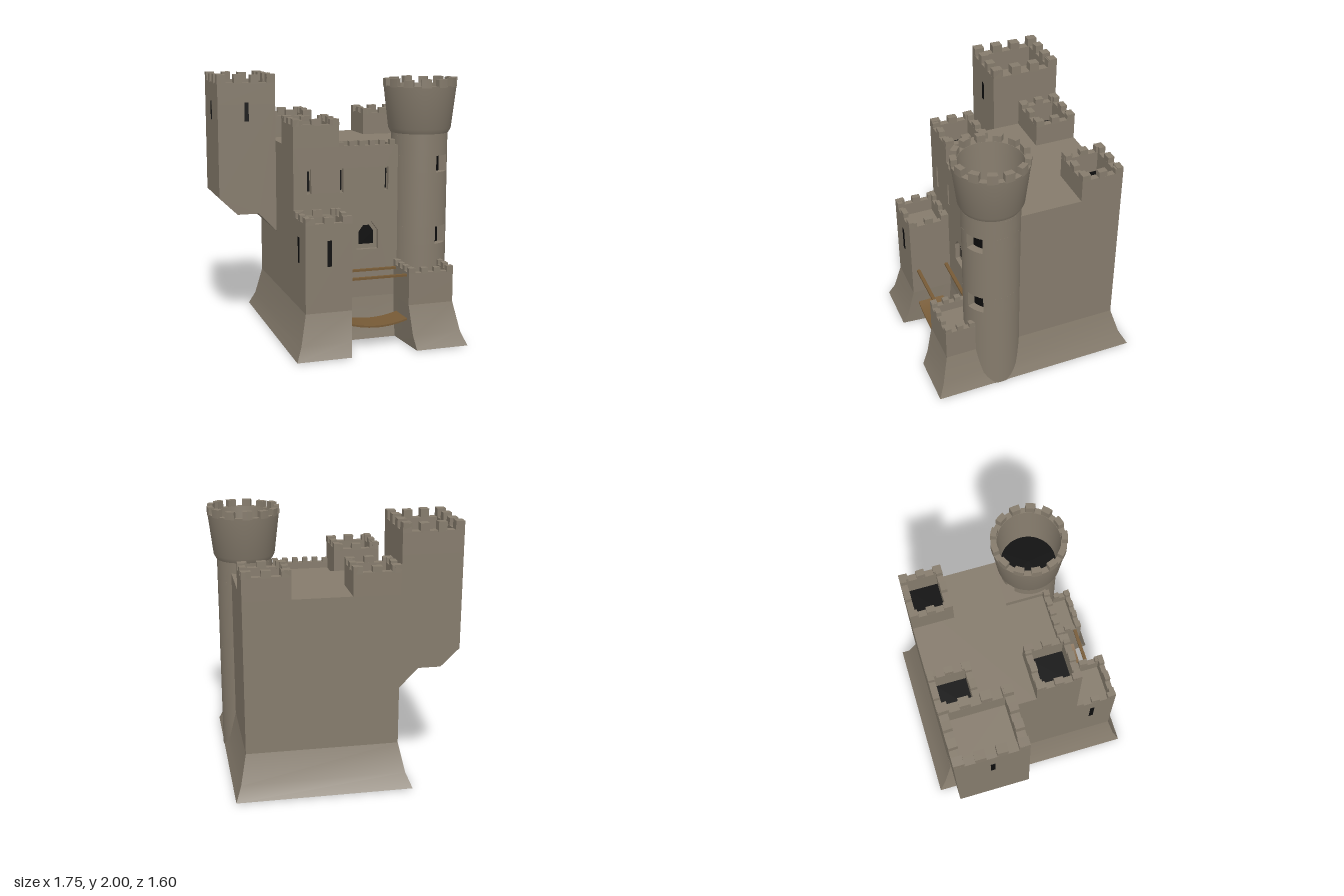
import * as THREE from 'three';
import { toCreasedNormals } from 'three/addons/utils/BufferGeometryUtils.js';

const mat = (name, color) => {
  const m = new THREE.MeshStandardMaterial({ color });
  m.name = name;
  return m;
};

export function createModel() {
  const root = new THREE.Group();
  root.name = 'castle';
  const stone = mat('stone', 0x857b6c);
  const wood = mat('wood', 0x765a36);
  const dark = mat('darkOpening', 0x0b0b0b);

  let seed = 7;
  const jitter = (a) => {
    seed = (seed * 16807) % 2147483647;
    return (seed / 2147483647 - 0.5) * 2 * a;
  };
  const add = (name, geo, material = stone, parent = root) => {
    const m = new THREE.Mesh(geo, material);
    m.name = name;
    parent.add(m);
    return m;
  };
  // Box given by its limits
  const block = (name, x0, x1, y0, y1, z0, z1, material, parent) => {
    const m = add(name, new THREE.BoxGeometry(x1 - x0, y1 - y0, z1 - z0), material, parent);
    m.position.set((x0 + x1) / 2, (y0 + y1) / 2, (z0 + z1) / 2);
    return m;
  };
  const extrude = (shape, depth, curveSegments = 12) =>
    new THREE.ExtrudeGeometry(shape, { depth, curveSegments, bevelEnabled: false });
  const polygon = (pts) => new THREE.Shape(pts.map(([x, y]) => new THREE.Vector2(x, y)));

  // Row of slightly uneven merlons filling a strip, ends flush
  const merlons = (parent, x0, x1, z0, z1, y, h, n) => {
    const alongX = x1 - x0 > z1 - z0;
    const step = (alongX ? x1 - x0 : z1 - z0) / (2 * n - 1);
    for (let i = 0; i < n; i++) {
      const s = 2 * i * step, top = y + h + jitter(0.005);
      const m = alongX
        ? block('merlon', x0 + s, x0 + s + step, y - 0.01, top, z0, z1, stone, parent)
        : block('merlon', x0, x1, y - 0.01, top, z0 + s, z0 + s + step, stone, parent);
      m.rotation.set(jitter(0.03), jitter(0.05), jitter(0.03));
    }
  };
  // Four parapet walls with merlons around a flat tower top
  const parapet = (name, x0, x1, z0, z1, y0, y1, t, n, h) => {
    const g = new THREE.Group();
    g.name = name;
    root.add(g);
    const strips = [[x0, x1, z0, z0 + t], [x0, x1, z1 - t, z1], [x0, x0 + t, z0, z1], [x1 - t, x1, z0, z1]];
    for (const [a, b, c, d] of strips) {
      block('parapetWall', a, b, y0, y1, c, d, stone, g);
      merlons(g, a, b, c, d, y1, h, n);
    }
  };

  // Flared U-shaped foot of the castle, lofted through three levels
  const outline = (f) => [
    [-0.42 - 0.09 * f, 0.705 + 0.095 * f], [-0.07 - 0.03 * f, 0.705 + 0.095 * f],
    [-0.07, 0.385 + 0.04 * f], [0.37, 0.385 + 0.04 * f],
    [0.37 + 0.035 * f, 0.705 + 0.095 * f], [0.72 + 0.09 * f, 0.705 + 0.095 * f],
    [0.72 + 0.09 * f, -0.67 - 0.13 * f], [-0.42 - 0.09 * f, -0.67 - 0.13 * f]];
  const levels = [[0.005, 1], [0.11, 0.52], [0.33, 0]].map(([y, f]) => outline(f).map(([x, z]) => [x, y, z]));
  const tri = [];
  for (let k = 0; k < 2; k++) {
    for (let i = 0; i < 8; i++) {
      const j = (i + 1) % 8;
      const [a, b, c, d] = [levels[k][i], levels[k][j], levels[k + 1][j], levels[k + 1][i]];
      tri.push(...a, ...b, ...c, ...a, ...c, ...d);
    }
  }
  const foot = new THREE.BufferGeometry();
  foot.setAttribute('position', new THREE.Float32BufferAttribute(tri, 3));
  foot.computeVertexNormals();
  add('flaredFoot', toCreasedNormals(foot, 0.6));
  const under = new THREE.ShapeGeometry(polygon(outline(1).map(([x, z]) => [x, -z])));
  under.rotateX(-Math.PI / 2);
  const sole = add('underside', under, stone);
  sole.position.y = -0.005;
  // turn the sole face down while keeping its plan
  under.index.array.reverse();
  under.computeVertexNormals();
  sole.position.y = 0.005;

  // Keep
  block('keepRear', -0.42, 0.72, 0.33, 1.485, -0.67, 0.05);
  block('keepEast', 0.37, 0.72, 0.33, 1.485, 0.05, 0.37);
  block('keepMiddle', -0.07, 0.37, 0.33, 1.44, 0.05, 0.35);
  block('keepWest', -0.42, -0.07, 0.33, 1.485, 0.05, 0.35);

  // Front wall with recessed slits and an arched window
  const rect = (x, y0, y1, w) => [[x - w, y0], [x + w, y0], [x + w, y1], [x - w, y1]];
  const arch = (x, y0, y1, w) => [[x - w, y0], [x + w, y0], [x + w, y1 - w * 0.8],
    [x + w * 0.4, y1], [x - w * 0.4, y1], [x - w, y1 - w * 0.8]];
  const wall = polygon([[-0.42, 0.33], [0.37, 0.33], [0.37, 1.485], [-0.42, 1.485]]);
  const openings = [
    [rect(-0.3, 1.145, 1.33, 0.016), rect(-0.3, 1.16, 1.31, 0.01)],
    [rect(-0.05, 1.145, 1.325, 0.014), rect(-0.05, 1.16, 1.31, 0.009)],
    [rect(0.305, 1.145, 1.325, 0.014), rect(0.305, 1.16, 1.31, 0.009)],
    [arch(0.155, 0.7, 0.91, 0.085), arch(0.155, 0.735, 0.88, 0.058)]];
  for (const [outer, inner] of openings) {
    wall.holes.push(new THREE.Path(outer.map(([x, y]) => new THREE.Vector2(x, y)).reverse()));
    add('windowOpening', new THREE.ShapeGeometry(polygon(inner)), dark).position.z = 0.353;
  }
  add('frontWall', extrude(wall, 0.035)).position.z = 0.35;
  block('frontParapet', -0.07, 0.37, 1.43, 1.49, 0.34, 0.385);
  merlons(root, -0.07, 0.37, 0.34, 0.385, 1.49, 0.033, 6);

  // Small turrets on the keep roof
  for (const [name, x0, z0, z1] of [['backLeftTurret', 0.37, -0.67, -0.35],
    ['backRightTurret', -0.42, -0.67, -0.35], ['frontRightTurret', -0.42, 0.05, 0.385]]) {
    parapet(name, x0, x0 + 0.35, z0, z1, 1.48, 1.655, 0.048, 3, 0.04);
    block('turretShaft', x0 + 0.04, x0 + 0.31, 1.484, 1.49, z0 + 0.04, z1 - 0.04, dark);
  }

  // Front bastions
  block('tallBastion', -0.42, -0.07, 0.33, 0.88, 0.385, 0.705);
  parapet('tallBastionTop', -0.42, -0.07, 0.38, 0.705, 0.88, 0.985, 0.04, 3, 0.042);
  block('lowBastion', 0.37, 0.72, 0.33, 0.5, 0.37, 0.705);
  parapet('lowBastionTop', 0.37, 0.72, 0.38, 0.705, 0.5, 0.57, 0.04, 4, 0.035);

  // Overhanging watch tower
  const profile = polygon([[-0.87, 1.05], [-0.73, 0.915], [-0.56, 0.915], [-0.42, 0.77], [-0.42, 1.77], [-0.87, 1.77]]);
  add('watchTower', extrude(profile, 0.53)).position.z = -0.67;
  parapet('watchTowerTop', -0.87, -0.42, -0.67, -0.14, 1.77, 1.935, 0.065, 4, 0.06);

  // Arrow slits on the outer faces
  block('arrowSlit', -0.257, -0.223, 0.67, 0.86, 0.702, 0.708, dark);
  block('arrowSlit', -0.423, -0.417, 0.67, 0.86, 0.508, 0.542, dark);
  block('arrowSlit', -0.662, -0.63, 1.64, 1.785, -0.143, -0.137, dark);
  block('arrowSlit', -0.873, -0.867, 1.64, 1.785, -0.42, -0.388, dark);

  // Round tower: solid bands, with gaps left for windows
  const round = new THREE.Group();
  round.name = 'roundTower';
  round.position.set(0.6, 0, 0.295);
  root.add(round);
  const R = 0.214;
  const sector = (name, r0, r1, a0, a1, y0, y1) => {
    const s = new THREE.Shape();
    s.absarc(0, 0, r1, a0, a1, false);
    s.absarc(0, 0, r0, a1, a0, true);
    const segs = Math.max(4, Math.ceil((a1 - a0) * 8));
    const g = extrude(s, y1 - y0, segs).rotateX(-Math.PI / 2);
    const m = add(name, toCreasedNormals(g, 0.5), stone, round);
    m.position.y = y0;
    return m;
  };
  const band = (y0, y1) => {
    add('towerShaft', new THREE.CylinderGeometry(R, R, y1 - y0, 48), stone, round).position.y = (y0 + y1) / 2;
  };
  const gap = (angle, half, y0, y1) =>
    sector('windowBand', 0.15, R, angle + half, angle + Math.PI * 2 - half, y0, y1);
  const facing = -0.98;
  band(0, 0.73);
  gap(facing, 0.32, 0.73, 0.865);
  band(0.865, 1.28);
  gap(facing, 0.32, 1.28, 1.405);
  band(1.405, 1.45);
  gap(facing + Math.PI, 0.18, 1.45, 1.55);
  band(1.55, 1.59);
  add('darkCore', new THREE.CylinderGeometry(0.157, 0.157, 0.9, 32), dark, round).position.y = 1.1;

  // Flaring crown
  const crown = [[0.2, 1.57], [0.22, 1.57], [0.238, 1.605], [0.276, 1.925], [0.232, 1.925], [0.206, 1.6]]
    .map(([x, y]) => new THREE.Vector2(x, y));
  add('crown', toCreasedNormals(new THREE.LatheGeometry(crown, 48), 0.4), stone, round);
  add('crownShaft', new THREE.CylinderGeometry(0.207, 0.207, 0.008, 40), dark, round).position.y = 1.604;
  for (let i = 0; i < 13; i++) {
    const a = (i / 13) * Math.PI * 2 + jitter(0.03);
    sector('crownMerlon', 0.234, 0.279, a, a + 0.27, 1.915, 1.978 + jitter(0.008));
  }

  // Sagging footbridge and its rails
  const plank = new THREE.Shape();
  plank.moveTo(-0.075, 0.217);
  plank.quadraticCurveTo(0.15, 0.147, 0.375, 0.217);
  plank.lineTo(0.375, 0.203);
  plank.quadraticCurveTo(0.15, 0.133, -0.075, 0.203);
  add('footbridge', toCreasedNormals(extrude(plank, 0.21), 0.5), wood).position.z = 0.455;
  for (const z of [0.408, 0.64]) block('bridgeRail', -0.075, 0.375, 0.54, 0.556, z, z + 0.026, wood);

  return root;
}
